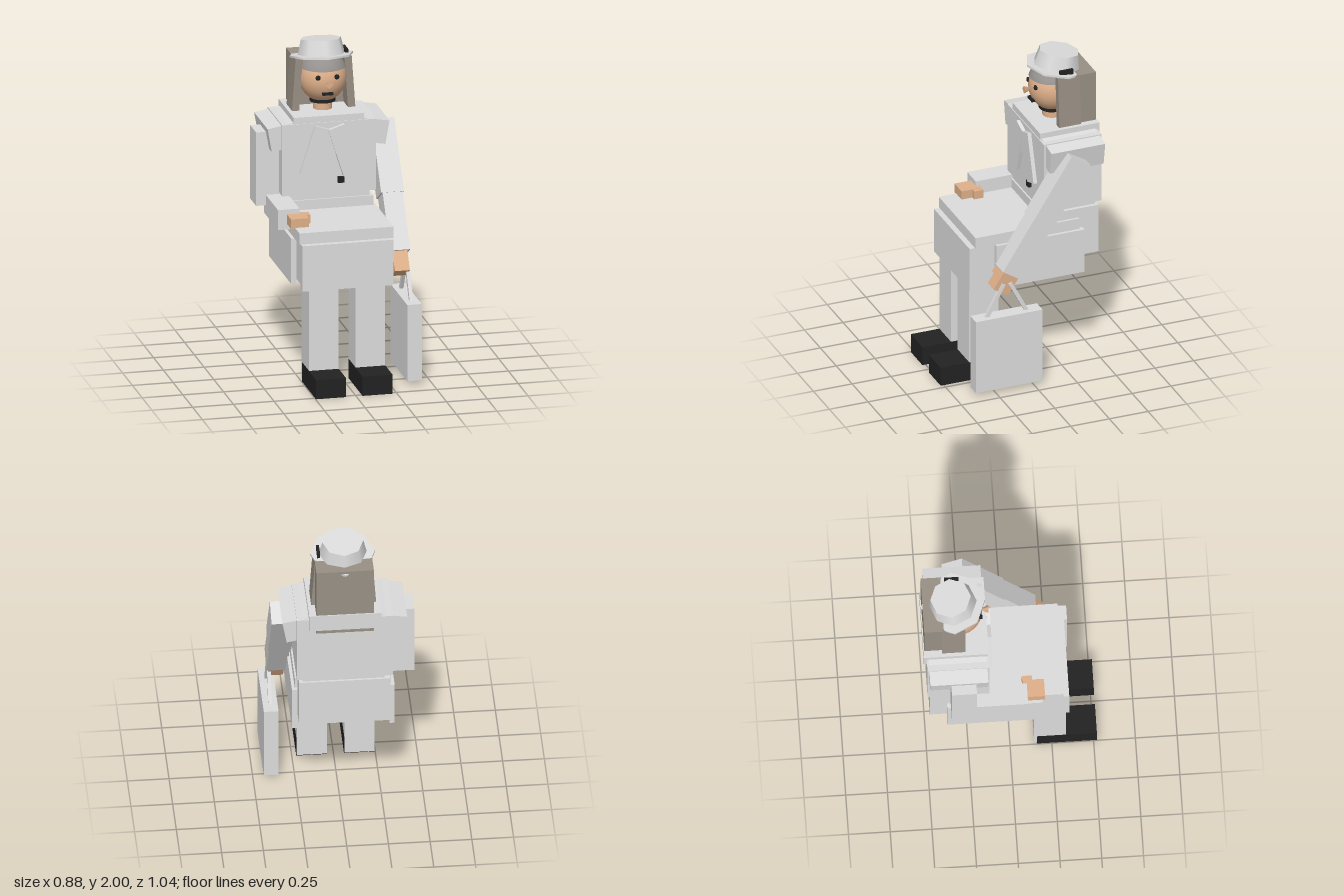
import * as THREE from 'three';

const mat = (name, color) => {
  const m = new THREE.MeshStandardMaterial({ color });
  m.name = name;
  return m;
};

export function createModel() {
  const model = new THREE.Group();
  model.name = 'figure';
  const cloth = mat('cloth', 0xdcdcdc);
  const skin = mat('skin', 0xdfb08a);
  const hair = mat('hair', 0x999084);
  const fringeMat = mat('fringe grey', 0x94918e);
  const black = mat('black', 0x222222);

  const CX = -0.012; // centre line of the body
  const HEAD_Z = -0.295;

  const add = (name, geo, material, x, y, z, parent = model) => {
    const m = new THREE.Mesh(geo, material);
    m.name = name;
    m.position.set(x, y, z);
    parent.add(m);
    return m;
  };
  // box from its two extremes on each axis
  const box = (name, material, x0, x1, y0, y1, z0, z1, parent = model) =>
    add(name, new THREE.BoxGeometry(x1 - x0, y1 - y0, z1 - z0), material,
      (x0 + x1) / 2, (y0 + y1) / 2, (z0 + z1) / 2, parent);

  // torso, waist and collar
  box('torso', cloth, -0.3, 0.277, 1.075, 1.52, -0.497, -0.125);
  box('waist', cloth, -0.25, 0.24, 1.02, 1.08, -0.47, -0.14);
  box('pelvis', cloth, -0.285, 0.262, 0.727, 1.04, -0.483, -0.13);
  box('collar', cloth, -0.228, 0.204, 1.5, 1.56, -0.5, -0.13);
  box('collarBack', cloth, -0.228, 0.204, 1.45, 1.56, -0.515, -0.49);

  // seated lap and hanging coat panels
  box('lap', cloth, -0.3, 0.277, 0.91, 0.98, -0.355, 0.317);
  box('thighs', cloth, -0.288, 0.265, 0.655, 0.912, -0.37, 0.302);
  box('frontPanel', cloth, -0.29, 0.27, 0.625, 0.91, 0.302, 0.352);
  box('rightPanel', cloth, -0.32, -0.288, 0.625, 0.91, -0.38, 0.19);
  box('leftPanel', cloth, 0.264, 0.296, 0.625, 0.91, -0.38, 0.19);

  for (const s of [-1, 1]) {
    const side = s < 0 ? 'right' : 'left';
    // legs and shoes
    const lx = CX + s * 0.143;
    box(side + 'Leg', cloth, lx - 0.09, lx + 0.09, 0.015, 0.66, 0.145, 0.335);
    box(side + 'Shoe', black, lx - 0.092, lx + 0.092, 0, 0.12, 0.16, 0.52);
    // shoulder cap, sloping down outwards
    const cap = add(side + 'Shoulder', new THREE.BoxGeometry(0.2, 0.147, 0.347), cloth,
      CX + s * 0.263, 1.443, -0.312);
    cap.rotation.z = -s * 0.175;
    // scarf tails
    const tail = add(side + 'ScarfTail', new THREE.BoxGeometry(0.105, 0.31, 0.024), cloth,
      CX + s * 0.087, 1.344, -0.113 + s * 0.001);
    tail.rotation.z = s * 0.312;
    // locks of hair beside the face
    const lock = add(side + 'HairLock', new THREE.BoxGeometry(0.045, 0.32, 0.14), hair,
      CX + s * 0.161, 1.72, -0.334);
    lock.rotation.z = s * 0.07;
    // eyes
    const eye = add(side + 'Eye', new THREE.SphereGeometry(0.016, 10, 8), black,
      CX + s * 0.057, 1.787, HEAD_Z + 0.129);
    eye.scale.z = 0.7;
  }
  box('scarfKnot', cloth, CX - 0.037, CX + 0.037, 1.325, 1.43, -0.125, -0.106);
  box('button', black, 0.04, 0.077, 1.14, 1.177, -0.125, -0.106);

  // right arm, bent with the hand on the lap
  box('rightUpperArm', cloth, -0.44, -0.298, 1.0, 1.46, -0.36, -0.21);
  box('rightForearm', cloth, -0.38, -0.248, 0.94, 1.065, -0.26, 0.1);
  box('rightHand', skin, -0.325, -0.215, 0.975, 1.035, 0.075, 0.205);
  box('rightThumb', skin, -0.215, -0.188, 0.977, 1.033, 0.073, 0.135);

  // left arm, reaching straight down and forward
  const arm = new THREE.Group();
  arm.name = 'leftArm';
  arm.position.set(0, 1.444, -0.307);
  arm.rotation.x = -0.569;
  model.add(arm);
  box('leftUpperArm', cloth, 0.277, 0.417, -0.46, 0, -0.073, 0.073, arm);
  box('leftForearm', cloth, 0.287, 0.41, -0.82, -0.46, -0.07, 0.07, arm);
  box('leftHand', skin, 0.303, 0.395, -0.945, -0.81, -0.055, 0.055, arm);
  box('leftThumb', skin, 0.276, 0.303, -0.875, -0.815, -0.005, 0.055, arm);

  // bag with two straps meeting in the hand
  box('bag', cloth, 0.347, 0.436, 0.025, 0.503, -0.05, 0.38);
  for (const s of [-1, 1]) {
    const strap = add('bagStrap', new THREE.BoxGeometry(0.022, 0.235, 0.024), cloth,
      0.391, 0.6, 0.165 + s * 0.075);
    strap.rotation.x = -s * 0.48;
  }

  // head
  add('neck', new THREE.CylinderGeometry(0.058, 0.058, 0.13, 16), skin, CX, 1.6, HEAD_Z);
  add('chinBand', new THREE.CylinderGeometry(0.079, 0.079, 0.024, 20), black, CX, 1.62, HEAD_Z);
  const head = add('head', new THREE.SphereGeometry(0.143, 28, 20), skin, CX, 1.757, HEAD_Z);
  head.scale.y = 1.07;
  const nose = add('nose', new THREE.ConeGeometry(0.026, 0.055, 4), skin, CX, 1.755, -0.142);
  nose.rotation.x = -Math.PI / 2;
  box('mouth', black, CX - 0.032, CX + 0.032, 1.678, 1.694, -0.2, -0.152);

  // hair
  box('backHair', hair, -0.184, 0.161, 1.425, 1.88, -0.509, -0.38);
  const fringe = add('fringe',
    new THREE.SphereGeometry(0.153, 28, 10, 0, Math.PI * 2, 0, 1.15), fringeMat, CX, 1.757, HEAD_Z);
  fringe.material.side = THREE.DoubleSide;
  fringe.scale.y = 1.06;

  // eight-sided hat, tipped back
  const hat = new THREE.Group();
  hat.name = 'hat';
  hat.position.set(CX, 1.884, -0.326);
  hat.rotation.x = -0.152;
  model.add(hat);
  add('hatBrim', new THREE.CylinderGeometry(0.194, 0.194, 0.012, 8), cloth, 0, 0, 0, hat);
  add('hatCrown', new THREE.CylinderGeometry(0.123, 0.146, 0.098, 8), cloth, 0, 0.049, 0, hat);
  box('hatBow', black, 0.126, 0.144, 1.886, 1.918, -0.37, -0.283);

  return model;
}
